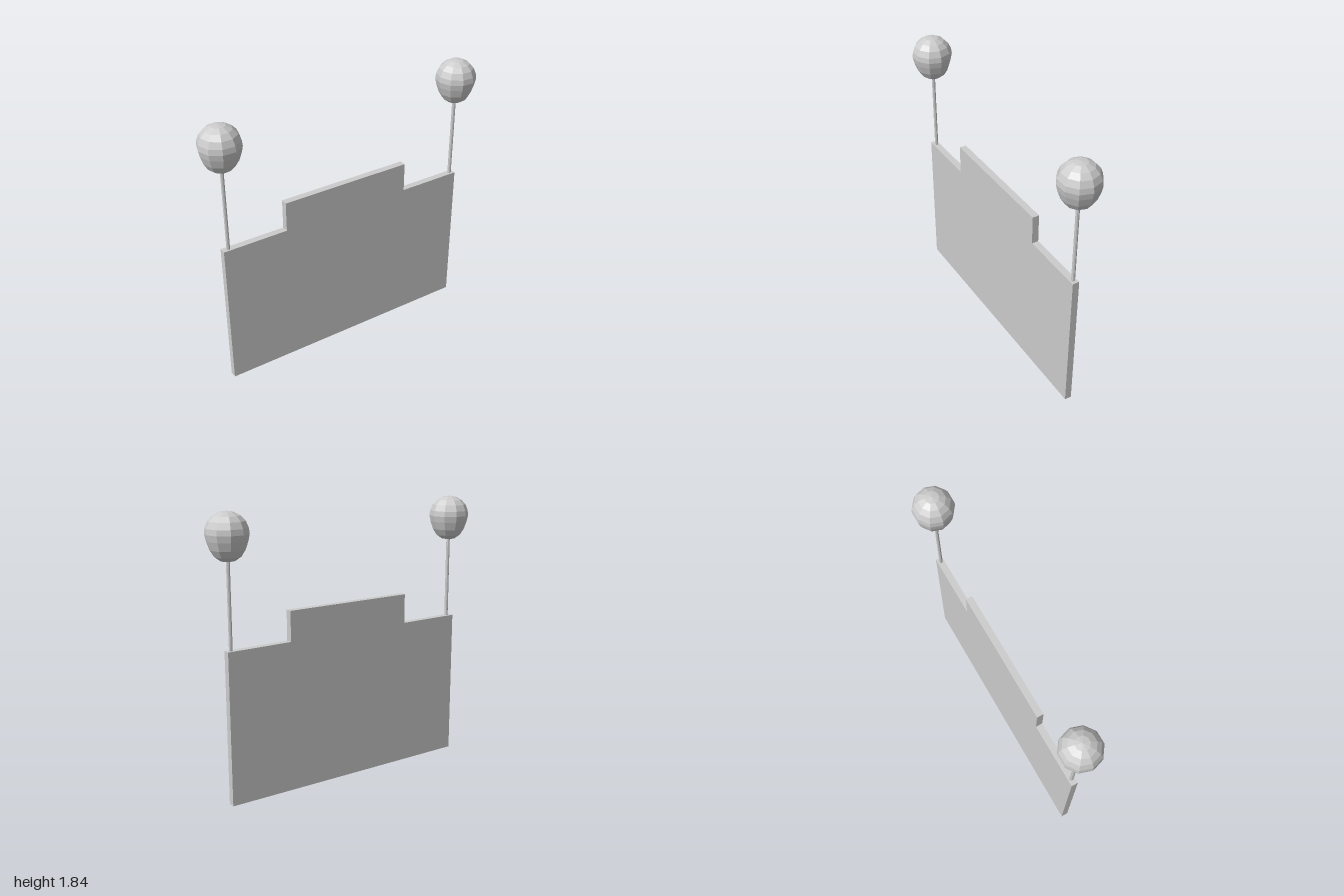
import * as THREE from 'three';

const material = new THREE.MeshStandardMaterial({ color: 0xcccccc, flatShading: true });

function addMesh(parent, name, geometry, x = 0, y = 0, z = 0) {
  const mesh = new THREE.Mesh(geometry, material);
  mesh.name = name;
  mesh.position.set(x, y, z);
  parent.add(mesh);
  return mesh;
}

export function createModel() {
  const model = new THREE.Group();
  model.name = 'signWithBalloons';

  // Flat board with a raised middle section
  const depth = 0.046;
  const outline = [
    [-0.907, 0], [0.897, 0], [0.897, 1], [0.452, 1],
    [0.452, 1.2], [-0.465, 1.2], [-0.465, 1], [-0.907, 1],
  ].map(([x, y]) => new THREE.Vector2(x, y));
  const boardGeometry = new THREE.ExtrudeGeometry(new THREE.Shape(outline), { depth, bevelEnabled: false });
  addMesh(model, 'board', boardGeometry, 0, 0, -depth / 2);

  // Balloon profile, bottom to top: tapered below, rounded above
  const profile = [
    [0, 1.543], [0.046, 1.55], [0.082, 1.575], [0.108, 1.617], [0.126, 1.67],
    [0.134, 1.71], [0.13, 1.745], [0.113, 1.785], [0.084, 1.816], [0.045, 1.837], [0, 1.844],
  ].map(([r, y]) => new THREE.Vector2(r, y));
  const balloonGeometry = new THREE.LatheGeometry(profile, 10);
  balloonGeometry.rotateY(Math.PI / 2);
  const poleGeometry = new THREE.CylinderGeometry(0.012, 0.012, 0.56, 8);

  // A balloon on a thin pole at each end
  for (const side of [-1, 1]) {
    const group = new THREE.Group();
    group.name = side > 0 ? 'leftBalloonOnPole' : 'rightBalloonOnPole';
    group.position.x = side * 0.866;
    addMesh(group, 'pole', poleGeometry, 0, 1.275);
    addMesh(group, 'balloon', balloonGeometry);
    model.add(group);
  }
  return model;
}
